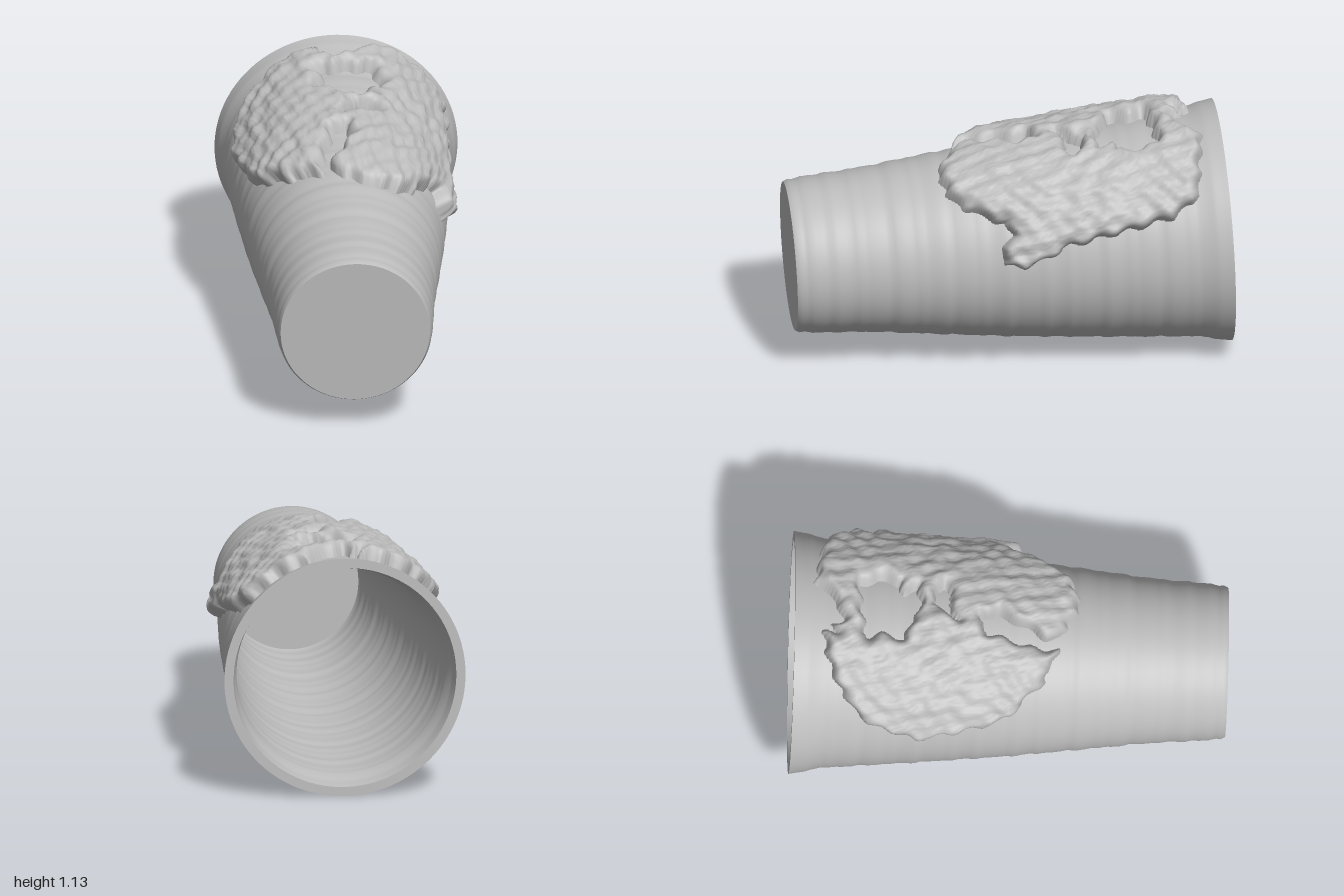
import * as THREE from 'three';

const grey = new THREE.MeshStandardMaterial({ color: 0xbcbcbc });
grey.name = 'clay grey';

const LENGTH = 1.97;
const WALL = 0.042;

// Outer radius of the cup along its axis, t = 0 at the closed end
const STATIONS = [
  [0, 0.338], [0.012, 0.345], [0.05, 0.346], [0.07, 0.355], [0.2, 0.362], [0.4, 0.378], [0.44, 0.384],
  [0.7, 0.415], [1.0, 0.449], [1.4, 0.485], [1.8, 0.517], [1.87, 0.526], [1.93, 0.546], [LENGTH, 0.55],
];
function cupRadius(t) {
  let i = 1;
  while (i < STATIONS.length - 1 && t > STATIONS[i][0]) i++;
  const [t0, r0] = STATIONS[i - 1], [t1, r1] = STATIONS[i];
  return THREE.MathUtils.lerp(r0, r1, THREE.MathUtils.clamp((t - t0) / (t1 - t0), 0, 1));
}
const ripple = (t) => 0.0016 * (Math.sin(t * 41) + Math.sin(t * 67 + 1) + 0.6 * Math.sin(t * 113));

// Edge lines of the crust as [angle from the top towards +x, z]
const OUTLINE = [
  [-0.18, -0.84], [-0.15, -0.76], [-0.09, -0.81], [-0.05, -0.75], [0.1, -0.77], [0.2, -0.83], [0.3, -0.88],
  [0.55, -0.85], [0.74, -0.84], [0.92, -0.8], [1.02, -0.7], [1.1, -0.5], [1.18, -0.3], [1.22, -0.2],
  [1.33, -0.1], [1.38, -0.03], [1.36, 0.05], [1.26, 0.08], [1.17, 0.06], [1.07, 0.02], [0.95, 0.04],
  [0.87, 0.11], [0.74, 0.21], [0.56, 0.29], [0.27, 0.32], [0.06, 0.28], [-0.15, 0.23], [-0.15, 0.17],
  [-0.08, 0.1], [0, 0.03], [0.06, -0.05], [0.04, -0.12], [-0.04, -0.13], [-0.12, -0.09], [-0.17, 0],
  [-0.24, 0.08], [-0.27, 0.22], [-0.34, 0.23], [-0.42, 0.18], [-0.58, 0.17], [-0.78, 0.08], [-1.0, -0.02],
  [-1.08, -0.16], [-1.12, -0.3], [-1.18, -0.4], [-1.02, -0.58], [-0.88, -0.69], [-0.6, -0.77], [-0.37, -0.82],
];
const LARGE_HOLE = [
  [-0.2, -0.645], [0.05, -0.67], [0.3, -0.68], [0.36, -0.61], [0.34, -0.5], [0.21, -0.465],
  [0.28, -0.41], [0.06, -0.4], [-0.09, -0.45], [-0.21, -0.475], [-0.16, -0.57],
];
const SMALL_HOLE = [[0, -0.23], [0.08, -0.31], [0.15, -0.35], [0.31, -0.3], [0.27, -0.25], [0.15, -0.28]];

// Signed distance to a closed edge line, positive inside
function insideDistance(poly, a, z) {
  const k = 0.5; // turns an angle into arc length
  let best = Infinity, inside = false;
  for (let i = 0, j = poly.length - 1; i < poly.length; j = i++) {
    const ax = poly[j][0] * k, az = poly[j][1], bx = poly[i][0] * k, bz = poly[i][1];
    const px = a * k, dx = bx - ax, dz = bz - az;
    const s = THREE.MathUtils.clamp(((px - ax) * dx + (z - az) * dz) / (dx * dx + dz * dz), 0, 1);
    best = Math.min(best, Math.hypot(px - ax - s * dx, z - az - s * dz));
    if ((az > z) !== (bz > z) && px < ax + (dx * (z - az)) / dz) inside = !inside;
  }
  return inside ? best : -best;
}

// Height of the crust above the cup: rounded edges and a lumpy top
function crustHeight(a, z) {
  const wa = a + 0.025 * Math.sin(z * 47), wz = z + 0.01 * Math.sin(a * 31);
  const s = Math.min(
    insideDistance(OUTLINE, wa, wz),
    -insideDistance(LARGE_HOLE, wa, wz),
    -insideDistance(SMALL_HOLE, wa, wz),
  );
  if (s <= 0) return Math.max(-0.02, s * 1.5);
  const lumps = Math.sin(a * 17 + 3 * Math.sin(z * 9)) * Math.sin(z * 23 + 2 * Math.sin(a * 8))
    + 0.6 * Math.sin(a * 37 + z * 19) * Math.sin(z * 41 - a * 11);
  const thick = 0.072 + 0.008 * Math.round(lumps * 2) / 2 - 0.012 * THREE.MathUtils.smoothstep(z, 0.05, 0.3);
  const e = 1 - Math.min(s / 0.045, 1);
  return thick * Math.sqrt(1 - e * e);
}

function crustGeometry() {
  const nA = 200, nZ = 100, a0 = -1.3, a1 = 1.5, z0 = 0.37, z1 = -0.93;
  const positions = [], heights = [], indices = [];
  for (let j = 0; j <= nZ; j++) {
    for (let i = 0; i <= nA; i++) {
      const a = THREE.MathUtils.lerp(a0, a1, i / nA), z = THREE.MathUtils.lerp(z0, z1, j / nZ);
      const h = crustHeight(a, z), t = 1 - z, r = cupRadius(t) + h;
      heights.push(h);
      positions.push(r * Math.sin(a), t, r * Math.cos(a));
    }
  }
  const row = nA + 1;
  for (let j = 0; j < nZ; j++) {
    for (let i = 0; i < nA; i++) {
      const a = j * row + i, b = a + 1, c = b + row, d = a + row;
      // Keep only cells that rise out of the cup wall
      if (Math.max(heights[a], heights[b], heights[c], heights[d]) > 0) indices.push(a, b, d, b, c, d);
    }
  }
  const g = new THREE.BufferGeometry();
  g.setAttribute('position', new THREE.Float32BufferAttribute(positions, 3));
  g.setIndex(indices);
  g.computeVertexNormals();
  return g;
}

export function createModel() {
  const model = new THREE.Group();
  model.name = 'crustedCup';
  const cup = new THREE.Group();
  cup.name = 'cup';
  model.add(cup);

  const add = (name, geometry) => {
    const mesh = new THREE.Mesh(geometry, grey);
    mesh.name = name;
    cup.add(mesh);
  };
  const lathe = (name, points) =>
    add(name, new THREE.LatheGeometry(points.map(([r, t]) => new THREE.Vector2(r, t)), 96));

  // Rippled walls, outside and inside
  const outer = [], inner = [];
  const steps = 100;
  for (let i = 0; i <= steps; i++) {
    const t = (LENGTH * i) / steps;
    const fade = i === 0 || i === steps ? 0 : 1;
    outer.push([cupRadius(t) + fade * ripple(t), t]);
    if (t > WALL) inner.unshift([cupRadius(t) - WALL + fade * ripple(t), t]);
  }
  lathe('outerWall', outer);
  lathe('innerWall', inner);

  // Closed end, its inside floor, and the flat rim
  const [floorR, floorT] = inner[inner.length - 1];
  lathe('base', [[0, 0], outer[0]]);
  lathe('insideFloor', [[floorR, floorT], [0, floorT]]);
  lathe('rim', [outer[steps], inner[0]]);

  // Lumpy growth over the upper side
  add('crust', crustGeometry());

  // Lay the cup down, open end to the back and slightly raised
  cup.rotation.x = -Math.PI / 2 + 0.0335;
  cup.position.set(0.005, 0.486, 0.99);
  return model;
}
